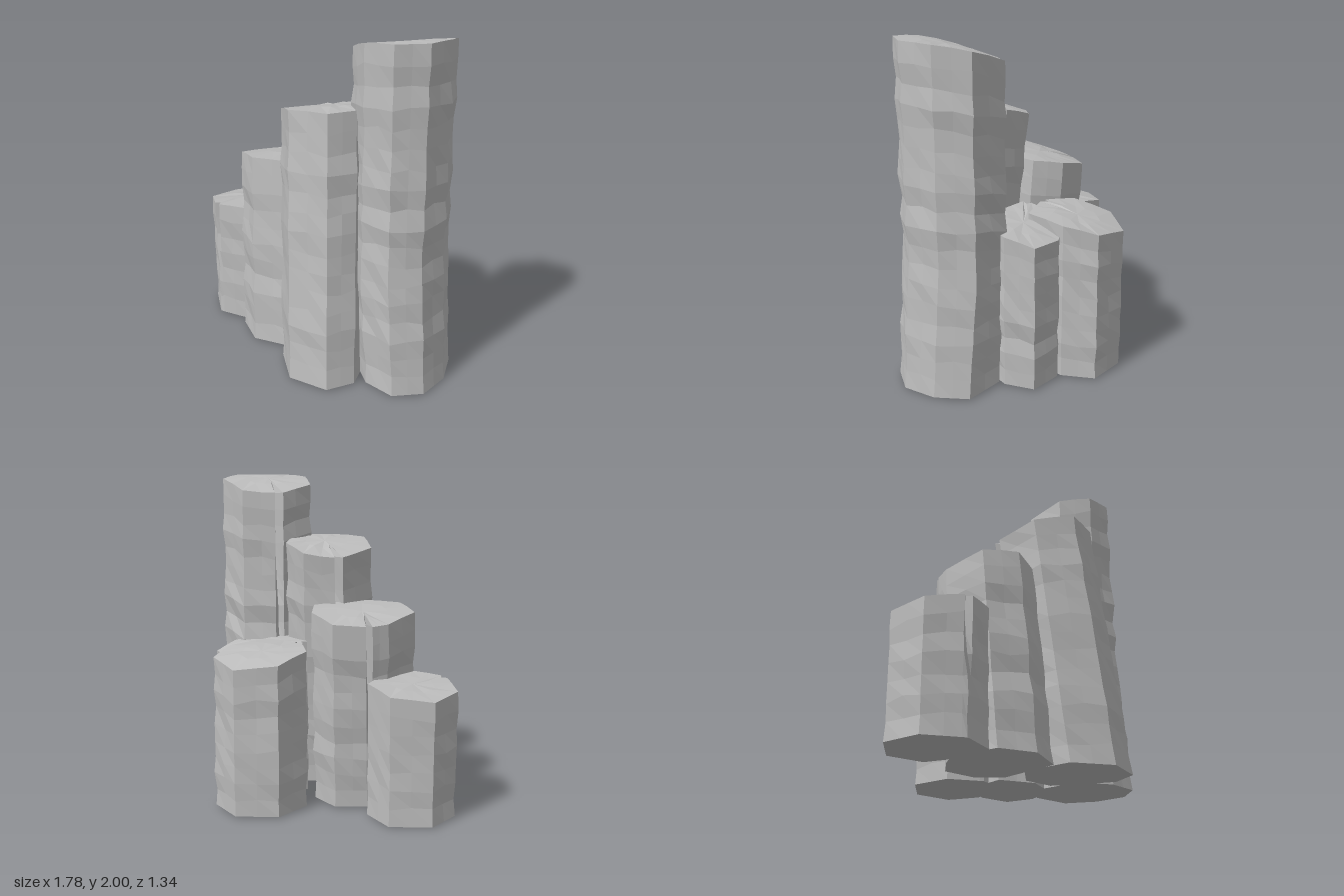
import * as THREE from 'three';

// Each column: top outline (x, z), height, top slope direction and drop,
// offset of the foot, cracked corner with its depth, and where the lean ends.
const COLUMNS = [
  { name: 'shortLeftColumn', h: 0.8, slope: [-0.85, -0.5], drop: 0.08, foot: [0, 0], lean: 1, crack: 5, depth: 0.04,
    top: [[-0.86, -0.19], [-0.65, -0.32], [-0.45, -0.22], [-0.43, -0.05], [-0.5, 0.21], [-0.73, 0.22], [-0.89, 0.04]] },
  { name: 'middleLeftColumn', h: 1.2, slope: [-0.7, -0.7], drop: 0.11, foot: [0.03, 0.08], lean: 1, crack: 0, depth: 0.13,
    top: [[-0.44, -0.18], [-0.26, -0.3], [-0.07, -0.23], [0.02, -0.07], [-0.1, 0.29], [-0.36, 0.32], [-0.535, 0.18], [-0.5, -0.08]] },
  { name: 'frontColumn', h: 1.6, slope: [-0.75, -0.65], drop: 0.12, foot: [0.075, 0.15], lean: 1, crack: 0, depth: 0.12,
    top: [[-0.1, 0.02], [0.1, -0.07], [0.28, 0.0], [0.32, 0.1], [0.375, 0.38], [0.27, 0.52], [0.02, 0.515], [-0.15, 0.32]] },
  { name: 'tallColumn', h: 2, slope: [-0.7, -0.7], drop: 0.13, foot: [0.055, 0.03], lean: 0.36, crack: 0, depth: 0.12,
    top: [[0.35, 0.03], [0.55, -0.09], [0.78, 0.0], [0.83, 0.2], [0.79, 0.4], [0.64, 0.51], [0.45, 0.46], [0.3, 0.3]] },
  { name: 'backColumn', h: 0.97, slope: [-0.2, -0.97], drop: 0.1, foot: [0, 0], lean: 1, crack: 5, depth: 0.05,
    top: [[-0.05, -0.54], [0.17, -0.67], [0.39, -0.58], [0.42, -0.38], [0.32, -0.14], [0.07, -0.14], [-0.08, -0.3]] },
  { name: 'innerBackColumn', h: 0.96, slope: [0.3, -0.95], drop: 0.1, foot: [0, 0], lean: 1, crack: 6, depth: 0.05,
    top: [[0.2, -0.32], [0.44, -0.36], [0.62, -0.28], [0.62, -0.1], [0.5, 0.08], [0.25, 0.1], [0.08, -0.05]] },
];

const BASE = 0.01;
const lerp = THREE.MathUtils.lerp;

function seeded(seed) {
  let s = seed;
  return () => ((s = (s * 16807) % 2147483647) / 2147483647) * 2 - 1;
}

// Outline with a midpoint on every side and a V-shaped crack at one corner
function outlineOf({ top, crack }) {
  const points = [];
  const between = (a, b, t) => [lerp(a[0], b[0], t), lerp(a[1], b[1], t)];
  top.forEach((p, i) => {
    const prev = top[(i + top.length - 1) % top.length];
    const next = top[(i + 1) % top.length];
    if (i === crack) {
      points.push({ p: between(p, prev, 0.12) }, { p, notch: true }, { p: between(p, next, 0.12) });
    } else {
      points.push({ p });
    }
    points.push({ p: between(p, next, 0.5), mid: true });
  });
  return points;
}

function columnGeometry(c, seed) {
  const rand = seeded(seed);
  const outline = outlineOf(c);
  const n = outline.length;
  const cx = c.top.reduce((s, p) => s + p[0], 0) / c.top.length;
  const cz = c.top.reduce((s, p) => s + p[1], 0) / c.top.length;
  const rows = Math.round(c.h * 9);
  const verts = [], index = [];

  // Height of the sloping top above a point
  const topY = (x, z) => {
    const t = ((x - cx) * c.slope[0] + (z - cz) * c.slope[1]) / 0.28;
    return c.h - c.drop * Math.min(1, Math.max(0, (t + 1) / 2) ** 2);
  };

  // Weathered rings from foot to top
  for (let r = 0; r <= rows; r++) {
    const v = r / rows;
    const edgeRow = r === 0 || r === rows;
    const shift = Math.max(0, 1 - v / c.lean);
    const rowSwell = edgeRow ? 0 : rand() * 0.008;
    outline.forEach(({ p, notch, mid }) => {
      const dx = p[0] - cx, dz = p[1] - cz, len = Math.hypot(dx, dz);
      const wear = edgeRow ? 0 : rowSwell + rand() * (mid ? 0.007 : 0.004);
      const cut = notch ? c.depth * Math.min(1, Math.max(0.05, (v - 0.35) * 2)) : 0;
      const k = (len + wear - cut) / len;
      const x = cx + dx * k, z = cz + dz * k;
      const wave = edgeRow ? 0 : rand() * 0.012;
      verts.push(x + c.foot[0] * shift, lerp(BASE, topY(p[0], p[1]), v) + wave, z + c.foot[1] * shift);
    });
  }
  for (let r = 0; r < rows; r++) {
    for (let i = 0; i < n; i++) {
      const j = (i + 1) % n;
      const a = r * n + i, b = r * n + j, d = a + n, e = b + n;
      index.push(a, d, e, a, e, b);
    }
  }

  // Top: uneven inner ring and centre; foot: flat fan
  const rim = rows * n;
  const inner = verts.length / 3;
  outline.forEach((_, i) => {
    const x = lerp(cx, verts[(rim + i) * 3], 0.5), z = lerp(cz, verts[(rim + i) * 3 + 2], 0.5);
    verts.push(x, topY(x, z) + rand() * 0.005, z);
  });
  const centre = verts.length / 3;
  verts.push(cx, topY(cx, cz), cz, cx + c.foot[0], BASE - 0.01, cz + c.foot[1]);
  for (let i = 0; i < n; i++) {
    const j = (i + 1) % n;
    index.push(rim + i, inner + i, inner + j, rim + i, inner + j, rim + j);
    index.push(centre, inner + j, inner + i);
    index.push(centre + 1, i, j);
  }

  const geometry = new THREE.BufferGeometry();
  geometry.setAttribute('position', new THREE.Float32BufferAttribute(verts, 3));
  geometry.setIndex(index);
  const flat = geometry.toNonIndexed();
  flat.computeVertexNormals();
  return flat;
}

export function createModel() {
  const group = new THREE.Group();
  group.name = 'rockColumns';
  const stone = new THREE.MeshStandardMaterial({ color: 0xbcbcbc });
  stone.name = 'grey stone';
  COLUMNS.forEach((c, i) => {
    const mesh = new THREE.Mesh(columnGeometry(c, 1000 + i * 7919), stone);
    mesh.name = c.name;
    group.add(mesh);
  });
  return group;
}
